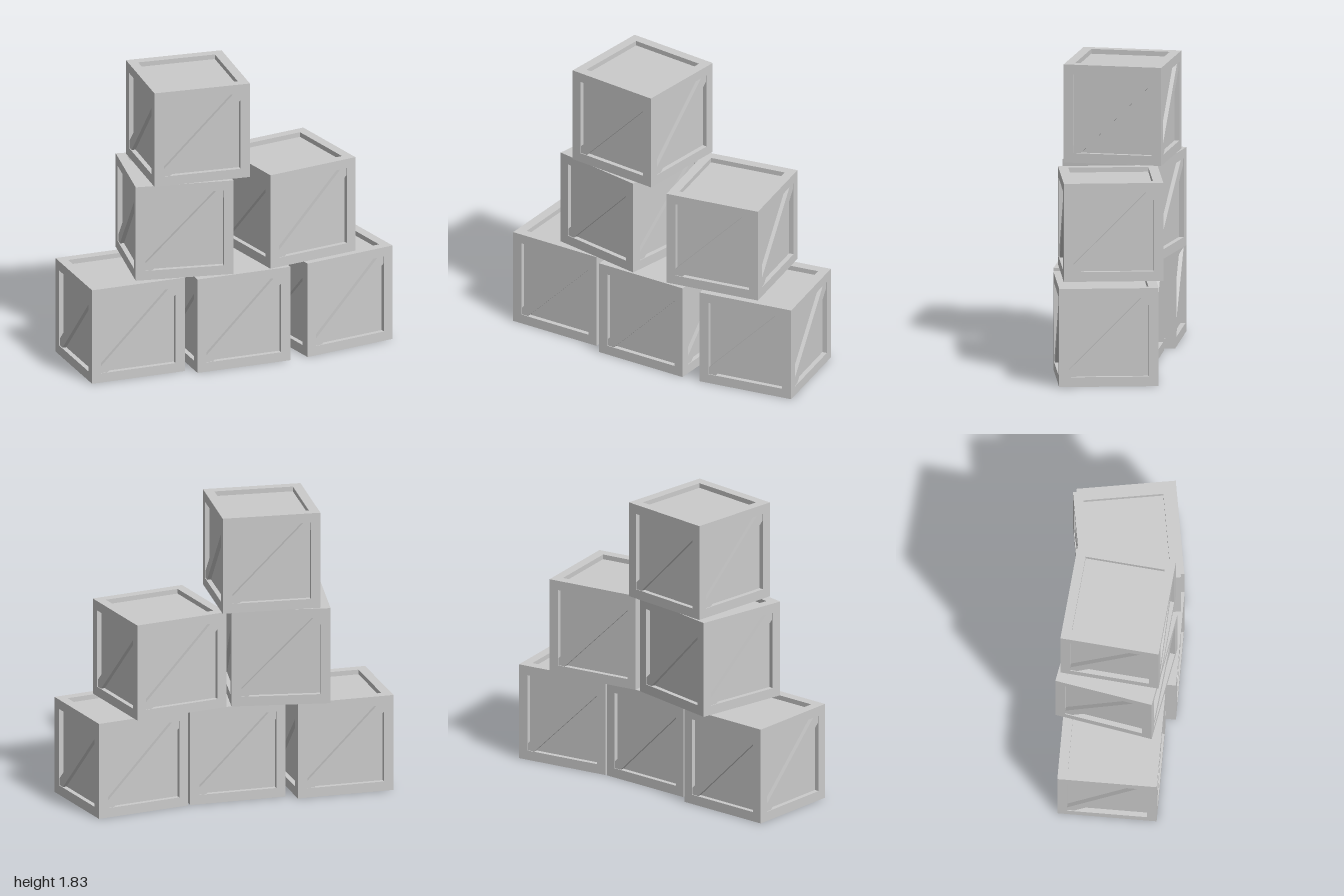
import * as THREE from 'three';

const SIZE = 0.61;            // crate edge length
const BEAM = 0.06;            // frame beam thickness
const RECESS = 0.03;          // depth of the panels behind the frame
const HALF = SIZE / 2;
const OPEN = HALF - BEAM;     // half width of a panel opening
const material = new THREE.MeshStandardMaterial({ color: 0xcccccc, flatShading: true });

function addBox(parent, name, size, pos) {
  const mesh = new THREE.Mesh(new THREE.BoxGeometry(...size), material);
  mesh.name = name;
  mesh.position.set(...pos);
  parent.add(mesh);
}

// Diagonal plank whose ends are cut to fit the corners of the opening
function braceGeometry() {
  const cut = 0.045;
  const shape = new THREE.Shape([
    [-OPEN, -OPEN], [-OPEN + cut, -OPEN], [OPEN, OPEN - cut],
    [OPEN, OPEN], [OPEN - cut, OPEN], [-OPEN, -OPEN + cut],
  ].map(([x, y]) => new THREE.Vector2(x, y)));
  const geometry = new THREE.ExtrudeGeometry(shape, { depth: 0.025, bevelEnabled: false });
  return geometry.translate(0, 0, HALF - RECESS);
}

function createCrate(brace) {
  const crate = new THREE.Group();
  crate.name = 'crate';
  const core = SIZE - 2 * RECESS;
  addBox(crate, 'panels', [core, core, core], [0, 0, 0]);

  const c = HALF - BEAM / 2;
  for (const a of [-c, c]) {
    for (const b of [-c, c]) {
      addBox(crate, 'cornerPost', [BEAM, SIZE, BEAM], [a, 0, b]);
      addBox(crate, 'crossRail', [2 * OPEN, BEAM, BEAM], [0, a, b]);
      addBox(crate, 'sideRail', [BEAM, BEAM, 2 * OPEN], [a, b, 0]);
    }
  }

  // One brace on each of the four upright sides
  for (let i = 0; i < 4; i++) {
    const mesh = new THREE.Mesh(brace, material);
    mesh.name = 'diagonalBrace';
    mesh.rotation.y = i * Math.PI / 2;
    crate.add(mesh);
  }
  return crate;
}

export function createModel() {
  const model = new THREE.Group();
  model.name = 'crateStack';
  const brace = braceGeometry();

  // x, layer, z, turn in degrees
  const placements = [
    [-0.695, 0, -0.01, 0],
    [-0.025, 0, 0.05, 0],
    [0.646, 0, -0.01, 10],
    [-0.337, 1, -0.01, -10],
    [0.402, 1, -0.01, 10],
    [-0.25, 2, -0.007, -5],
  ];
  for (const [x, layer, z, turn] of placements) {
    const crate = createCrate(brace);
    crate.position.set(x, HALF + layer * SIZE, z);
    crate.rotation.y = THREE.MathUtils.degToRad(turn);
    model.add(crate);
  }
  return model;
}
